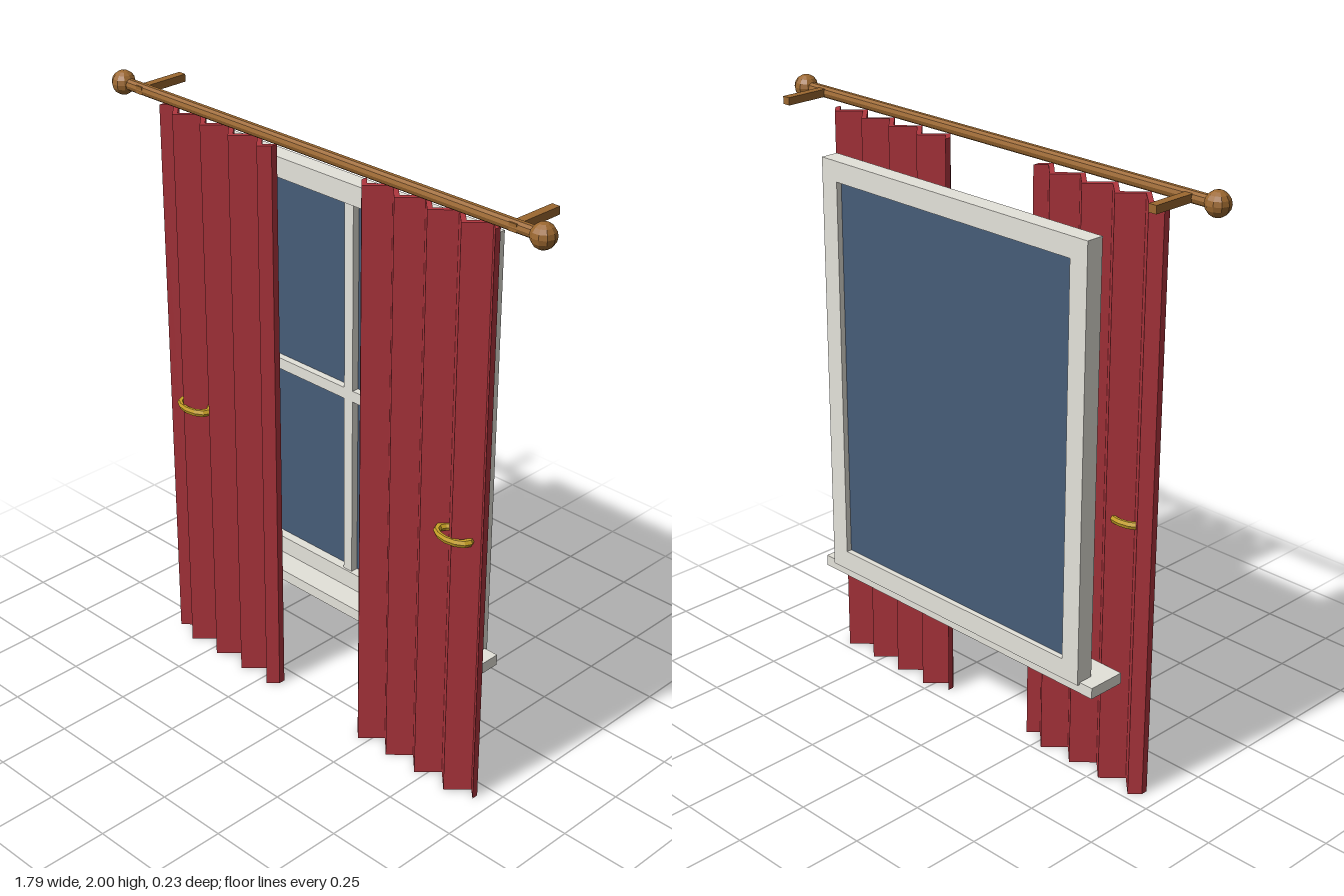
import * as THREE from 'three';

export function createModel() {
  const model = new THREE.Group();
  model.name = 'curtainedWindow';

  const material = (name, color) => {
    const m = new THREE.MeshStandardMaterial({ color, flatShading: true });
    m.name = name;
    return m;
  };
  const fabric = material('red fabric', 0xb0363e);
  const paint = material('off-white paint', 0xe4e2da);
  const glass = material('blue glass', 0x465c78);
  const wood = material('brown wood', 0x9c6830);
  const brass = material('brass', 0xc9a227);

  const add = (name, geometry, mat, x = 0, y = 0, z = 0) => {
    const mesh = new THREE.Mesh(geometry, mat);
    mesh.name = name;
    mesh.position.set(x, y, z);
    model.add(mesh);
    return mesh;
  };
  // Box given by its limits on each axis
  const box = (name, mat, x0, x1, y0, y1, z0, z1) =>
    add(name, new THREE.BoxGeometry(x1 - x0, y1 - y0, z1 - z0), mat,
      (x0 + x1) / 2, (y0 + y1) / 2, (z0 + z1) / 2);

  // Window frame, one solid ring
  const rect = (target, w, y0, y1) => {
    target.moveTo(-w, y0);
    target.lineTo(w, y0);
    target.lineTo(w, y1);
    target.lineTo(-w, y1);
    target.closePath();
    return target;
  };
  const frame = rect(new THREE.Shape(), 0.56, 0.41, 1.83);
  frame.holes.push(rect(new THREE.Path(), 0.494, 0.477, 1.763));
  add('windowFrame', new THREE.ExtrudeGeometry(frame, { depth: 0.061, bevelEnabled: false }),
    paint, 0, 0, -0.119);

  // Pane, glazing bars and sill
  box('glassPane', glass, -0.494, 0.494, 0.477, 1.763, -0.1, -0.09);
  box('verticalBar', paint, -0.018, 0.018, 0.477, 1.763, -0.09, -0.065);
  box('horizontalBar', paint, -0.494, 0.494, 1.101, 1.139, -0.09, -0.066);
  box('windowSill', paint, -0.61, 0.61, 0.38, 0.417, -0.109, 0.023);

  // Rod
  const rodY = 1.962, rodZ = 0.074;
  const rod = new THREE.CylinderGeometry(0.019, 0.019, 1.7, 10);
  rod.rotateZ(Math.PI / 2);
  add('curtainRod', rod, wood, 0, rodY, rodZ);

  // Pleated cloth outline: zigzag front line, then back along the rear line
  const pleats = (side) => {
    const line = [[0.185, 0]];
    for (let i = 0; i < 8; i++) line.push([0.2165 + i * 0.0627, i % 2 ? -0.031 : 0.031]);
    line.push([0.688, 0]);
    const front = line.map(([x, z]) => new THREE.Vector2(side * x, 0.0625 + z + 0.011));
    const back = line.map(([x, z]) => new THREE.Vector2(side * x, 0.0625 + z - 0.011));
    return new THREE.Shape([...front, ...back.reverse()]);
  };

  for (const [label, side] of [['left', 1], ['right', -1]]) {
    const curtain = new THREE.ExtrudeGeometry(pleats(side), { depth: 1.93, bevelEnabled: false });
    curtain.rotateX(Math.PI / 2);
    add(label + 'Curtain', curtain, fabric, 0, 1.93, 0);

    // Oval tieback ring around the cloth
    const ring = new THREE.TorusGeometry(0.061, 0.013, 6, 12);
    ring.rotateX(Math.PI / 2);
    ring.scale(1, 1, 0.6);
    add(label + 'Tieback', ring, brass, side * 0.573, 0.916, 0.07);

    // Rod end and wall bracket
    add(label + 'Finial', new THREE.SphereGeometry(0.039, 10, 8), wood, side * 0.855, rodY, rodZ);
    const x = side * 0.762;
    box(label + 'Bracket', wood, x - 0.014, x + 0.014, 1.95, 1.975, -0.088, 0.092);
  }
  return model;
}
